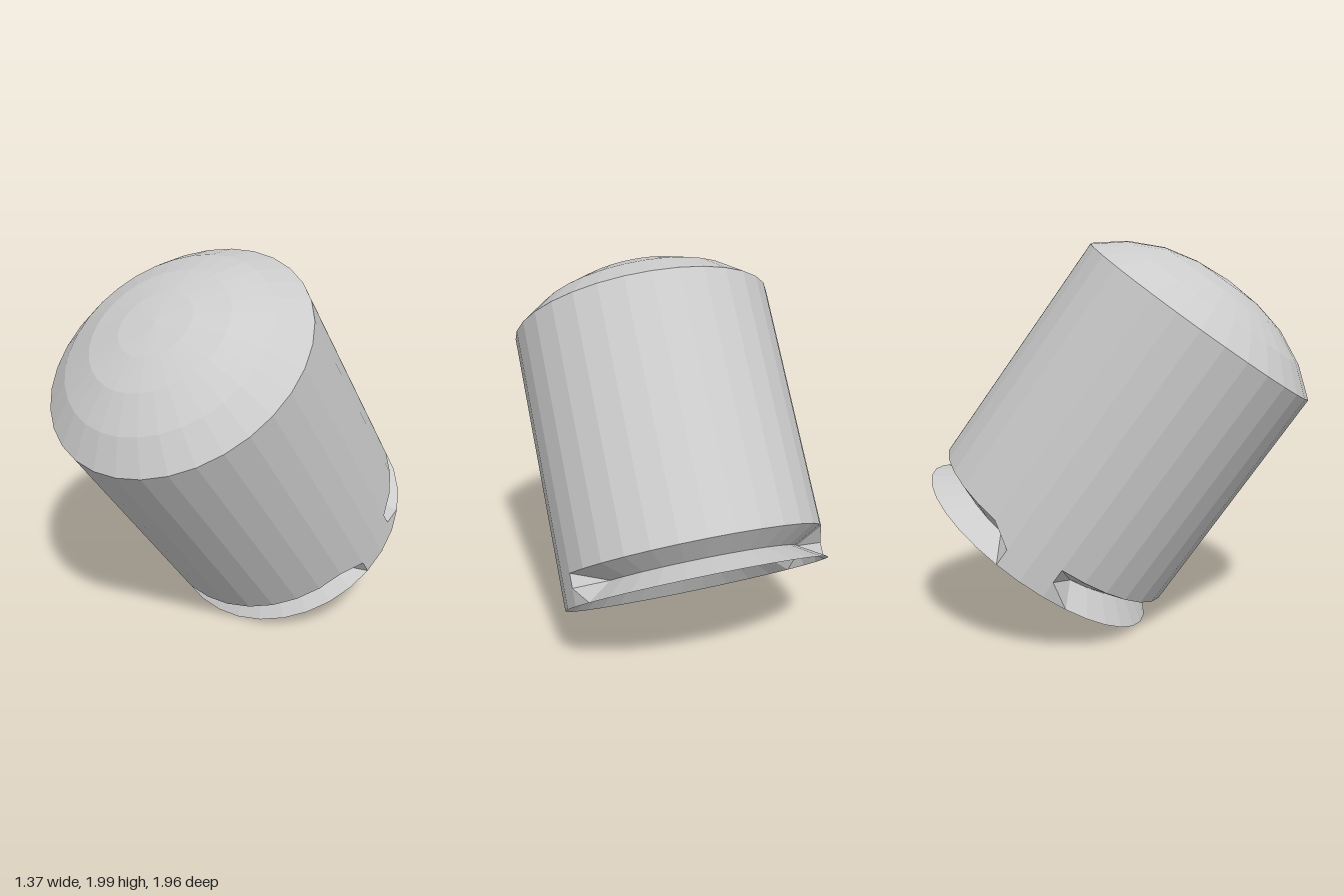
import * as THREE from 'three';

const SIDES = 32;
const RADIUS = 0.685;
const LENGTH = 1.295;
const TILT = 0.615;

const material = new THREE.MeshStandardMaterial({
  color: 0xcccccc, flatShading: true, side: THREE.DoubleSide,
});

// Round shell from [radius, height] pairs, listed bottom to top
function shell(name, profile) {
  const points = profile.map(([r, y]) => new THREE.Vector2(r, y));
  const mesh = new THREE.Mesh(new THREE.LatheGeometry(points, SIDES), material);
  mesh.name = name;
  return mesh;
}

export function createModel() {
  const model = new THREE.Group();
  model.name = 'tiltedCanister';

  // Straight wall, open at the bottom
  const body = shell('body', [[RADIUS, 0], [RADIUS, LENGTH]]);

  // Shallow faceted dome
  const dome = shell('dome', [
    [RADIUS, 0], [0.54, 0.115], [0.363, 0.2], [0.19, 0.239], [0, 0.253],
  ]);
  dome.position.y = LENGTH;

  // Flared mouth, pinched into a groove at front and back but straight at the sides
  const mouth = shell('mouth', [[RADIUS, -0.163], [RADIUS, -0.074], [RADIUS, 0]]);
  const pos = mouth.geometry.attributes.position;
  for (let i = 0; i < pos.count; i++) {
    const inGroove = Math.abs(pos.getY(i) + 0.074) < 0.001;
    const frontOrBack = Math.abs(pos.getZ(i)) > 0.25;
    if (inGroove && frontOrBack) {
      const k = 0.54 / RADIUS;
      pos.setX(i, pos.getX(i) * k);
      pos.setZ(i, pos.getZ(i) * k);
    }
  }
  mouth.geometry.computeVertexNormals();

  // Lean the whole canister toward the front
  const canister = new THREE.Group();
  canister.name = 'canister';
  canister.add(body, dome, mouth);
  canister.rotation.x = TILT;
  canister.position.set(0, 0.53, -0.325);
  model.add(canister);
  return model;
}
